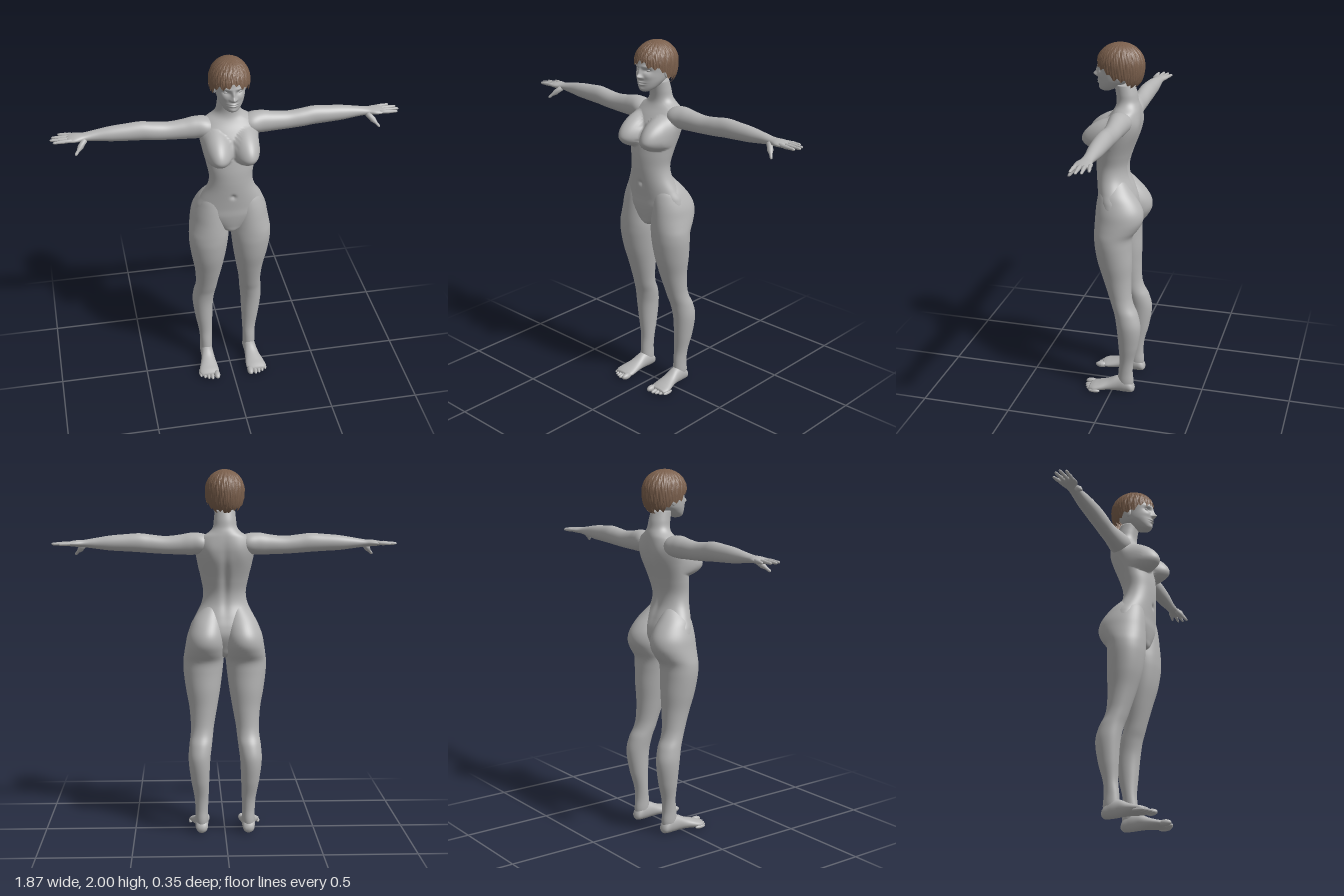
import * as THREE from 'three';

const skin = new THREE.MeshStandardMaterial({ color: 0xb4b4b4 });
skin.name = 'grey skin';
const brown = new THREE.MeshStandardMaterial({ color: 0x7a5f4c, side: THREE.DoubleSide });
brown.name = 'brown hair';

const gauss = (d, s) => Math.exp(-(d * d) / (s * s));

// Smooth (Hermite) value of column k of the sections at position p
function sample(secs, p, k) {
  let i = 0;
  while (i < secs.length - 2 && p > secs[i + 1][0]) i++;
  const slope = (n) => {
    const a = secs[Math.max(n - 1, 0)], b = secs[Math.min(n + 1, secs.length - 1)];
    return (b[k] - a[k]) / (b[0] - a[0]);
  };
  const h = secs[i + 1][0] - secs[i][0], t = (p - secs[i][0]) / h;
  const t2 = t * t, t3 = t2 * t;
  return (2 * t3 - 3 * t2 + 1) * secs[i][k] + (t3 - 2 * t2 + t) * h * slope(i)
    + (3 * t2 - 2 * t3) * secs[i + 1][k] + (t3 - t2) * h * slope(i + 1);
}

// Elliptical loft along an axis (0 x, 1 y, 2 z). A section is
// [position, min and max on the next axis, min and max on the one after].
function loft(axis, secs, rows, segs, deform) {
  const pos = [], idx = [];
  const first = secs[0][0], last = secs[secs.length - 1][0];
  const add = (p, a, b) => {
    const v = [0, 0, 0];
    v[axis] = p; v[(axis + 1) % 3] = a; v[(axis + 2) % 3] = b;
    if (deform) deform(v);
    pos.push(...v);
  };
  for (let i = 0; i <= rows; i++) {
    const p = first + (last - first) * i / rows;
    const [a0, a1, b0, b1] = [1, 2, 3, 4].map((k) => sample(secs, p, k));
    for (let j = 0; j < segs; j++) {
      const t = j / segs * Math.PI * 2;
      add(p, (a0 + a1) / 2 + (a1 - a0) / 2 * Math.cos(t), (b0 + b1) / 2 + (b1 - b0) / 2 * Math.sin(t));
      const n = (j + 1) % segs, q = i * segs;
      if (i < rows) idx.push(q + j, q + n, q + segs + j, q + n, q + segs + n, q + segs + j);
    }
  }
  for (const s of [secs[0], secs[secs.length - 1]]) add(s[0], (s[1] + s[2]) / 2, (s[3] + s[4]) / 2);
  const c = (rows + 1) * segs;
  for (let j = 0; j < segs; j++) {
    const n = (j + 1) % segs;
    idx.push(c, n, j, c + 1, rows * segs + j, rows * segs + n);
  }
  const g = new THREE.BufferGeometry();
  g.setAttribute('position', new THREE.Float32BufferAttribute(pos, 3));
  g.setIndex(idx);
  g.computeVertexNormals();
  return g;
}

function ball(x, y, z, rx, ry, rz) {
  return new THREE.SphereGeometry(1, 20, 14).scale(rx, ry, rz).translate(x, y, z);
}

// Tapered finger with a slight knuckle and a round tip
function digit(from, to, r0, r1) {
  const a = new THREE.Vector3(...from), d = new THREE.Vector3(...to).sub(a), len = d.length();
  const pts = [[0, 0], [r0, 0.02], [r0 * 0.92, 0.3], [r0, 0.45], [r1 * 1.05, 0.7], [r1, 0.88], [r1 * 0.7, 0.96], [0, 1]]
    .map(([r, t]) => new THREE.Vector2(r, t * len));
  const q = new THREE.Quaternion().setFromUnitVectors(new THREE.Vector3(0, 1, 0), d.normalize());
  return new THREE.LatheGeometry(pts, 12).applyQuaternion(q).translate(a.x, a.y, a.z);
}

function mirrored(geo) {
  const g = geo.clone().scale(-1, 1, 1), ix = g.index;
  for (let i = 0; i < ix.count; i += 3) {
    const t = ix.getX(i);
    ix.setX(i, ix.getX(i + 1));
    ix.setX(i + 1, t);
  }
  g.computeVertexNormals();
  return g;
}

// Chest volume, spine groove and navel
function shapeTorso(v) {
  const [x, y, z] = v, ax = Math.abs(x);
  if (z > -0.01) {
    const dx = (ax - 0.083) / 0.079, dy = (y - 1.495) / (y > 1.495 ? 0.115 : 0.068);
    const q = 1 - dx * dx - dy * dy, front = Math.min(1, (z + 0.01) / 0.04);
    if (q > 0) {
      v[2] += 0.095 * Math.pow(q, 0.75) * front;
      v[0] += Math.sign(x) * 0.012 * q * front;
    }
    v[2] -= 0.012 * gauss(x, 0.012) * gauss(y - 1.235, 0.014);
  } else {
    v[2] += 0.013 * gauss(x, 0.022) * gauss(y - 1.4, 0.16);
    v[2] -= 0.008 * gauss(ax - 0.08, 0.04) * gauss(y - 1.56, 0.06);
  }
}

// Face relief: [x, y, width, height, depth]
const relief = [
  [0, 1.824, 0.012, 0.012, 0.023], [0, 1.846, 0.009, 0.02, 0.013], [0.012, 1.819, 0.008, 0.007, 0.008],
  [0.034, 1.855, 0.019, 0.011, -0.013], [0.034, 1.877, 0.026, 0.008, 0.004], [0.045, 1.825, 0.02, 0.016, 0.005],
  [0, 1.793, 0.02, 0.005, 0.008], [0, 1.781, 0.017, 0.005, 0.008], [0, 1.787, 0.022, 0.0025, -0.004],
  [0, 1.755, 0.018, 0.01, 0.005],
];
function shapeHead(v) {
  const [x, y, z] = v;
  if (z < 0.03) return;
  for (const [rx, ry, w, h, d] of relief) v[2] += d * gauss(Math.abs(x) - rx, w) * gauss(y - ry, h);
}

// Cap of swept strands with a ragged lower edge
function hairCap(grow, turn, lift) {
  const segs = 144, rows = 26, pos = [], idx = [];
  for (let i = 0; i <= rows; i++) {
    for (let j = 0; j <= segs; j++) {
      const th = j / segs * Math.PI * 2, back = (1 - Math.cos(th)) / 2, u = i / rows;
      const jag = Math.abs(((th * 19 / (2 * Math.PI) + turn) % 1) * 2 - 1);
      const edge = 1.895 - 0.128 * Math.pow(back, 0.8) + lift + 0.022 * (jag - 0.5) + 0.008 * Math.sin(th * 7 + turn * 9);
      const a = u * Math.acos(Math.max(-1, Math.min(1, (edge - 1.88) / 0.118)));
      const low = Math.max(0, (a - Math.PI / 2) / 1.12);
      const strand = Math.abs(Math.sin(th * 11 + u * 5 + turn * 6)) * 0.6 + Math.abs(Math.sin(th * 23 - u * 7 + turn)) * 0.4;
      const r = (a < Math.PI / 2 ? Math.sin(a) : 1 - 0.24 * low * low) * (0.975 + grow + 0.045 * strand);
      pos.push(0.103 * r * Math.sin(th), 1.88 + 0.118 * Math.cos(a) + 0.003 * strand * u, -0.015 + 0.124 * r * Math.cos(th));
      const p = i * (segs + 1) + j;
      if (i < rows && j < segs) idx.push(p, p + segs + 1, p + 1, p + 1, p + segs + 1, p + segs + 2);
    }
  }
  const g = new THREE.BufferGeometry();
  g.setAttribute('position', new THREE.Float32BufferAttribute(pos, 3));
  g.setIndex(idx);
  const flat = g.toNonIndexed();
  flat.computeVertexNormals();
  return flat;
}

export function createModel() {
  const model = new THREE.Group();
  model.name = 'figure';
  const add = (name, geo, mat = skin) => {
    const m = new THREE.Mesh(geo, mat);
    m.name = name;
    model.add(m);
  };
  const pair = (name, geo) => {
    add('left ' + name, geo);
    add('right ' + name, mirrored(geo));
  };

  // Torso and neck: [y, back, front, half width]
  const torso = [
    [0.975, -0.04, 0.03, 0.01], [0.99, -0.07, 0.07, 0.04], [1.03, -0.09, 0.085, 0.11], [1.1, -0.115, 0.098, 0.19],
    [1.15, -0.11, 0.1, 0.188], [1.2, -0.092, 0.105, 0.163], [1.27, -0.065, 0.112, 0.128], [1.33, -0.062, 0.115, 0.117],
    [1.4, -0.08, 0.112, 0.128], [1.5, -0.115, 0.095, 0.15], [1.56, -0.126, 0.072, 0.16], [1.6, -0.128, 0.048, 0.155],
    [1.64, -0.125, 0.02, 0.125], [1.665, -0.12, 0.008, 0.085], [1.69, -0.112, 0.005, 0.066], [1.73, -0.105, 0.01, 0.06],
    [1.78, -0.09, 0.02, 0.055],
  ].map(([y, b, f, w]) => [y, b, f, -w, w]);
  add('torso', loft(1, torso, 130, 96, shapeTorso));

  // Leg: [y, back, front, inner, outer]
  pair('leg', loft(1, [
    [0.03, -0.12, -0.04, 0.1, 0.16], [0.07, -0.125, -0.035, 0.095, 0.165], [0.13, -0.12, -0.038, 0.095, 0.165],
    [0.2, -0.125, -0.045, 0.092, 0.17], [0.3, -0.15, -0.04, 0.088, 0.188], [0.42, -0.165, -0.03, 0.082, 0.202],
    [0.5, -0.147, -0.015, 0.072, 0.197], [0.55, -0.122, 0.002, 0.066, 0.19], [0.6, -0.11, 0.018, 0.06, 0.188],
    [0.7, -0.106, 0.05, 0.042, 0.196], [0.8, -0.109, 0.08, 0.025, 0.214], [0.9, -0.107, 0.097, 0.012, 0.227],
    [0.96, -0.112, 0.1, 0.006, 0.228], [1.0, -0.14, 0.1, 0.003, 0.223], [1.05, -0.166, 0.098, 0, 0.215],
    [1.1, -0.165, 0.095, 0, 0.206], [1.15, -0.14, 0.09, 0.005, 0.188], [1.2, -0.1, 0.08, 0.012, 0.163],
    [1.27, -0.04, 0.05, 0.03, 0.1],
  ], 100, 48));

  // Foot: [z, inner, outer, bottom, top], and toes
  pair('foot', loft(2, [
    [-0.13, 0.115, 0.145, 0.015, 0.04], [-0.12, 0.1, 0.16, 0.004, 0.06], [-0.08, 0.094, 0.166, 0, 0.1],
    [-0.03, 0.094, 0.168, 0.002, 0.095], [0.02, 0.09, 0.178, 0.004, 0.07], [0.07, 0.084, 0.194, 0.002, 0.052],
    [0.1, 0.084, 0.198, 0.002, 0.043], [0.125, 0.095, 0.185, 0.008, 0.033],
  ], 40, 32));
  for (let i = 0; i < 5; i++) {
    const r = i ? 0.0125 - i * 0.0005 : 0.018;
    pair('toe ' + (i + 1), ball(i ? 0.108 + i * 0.021 : 0.1, r + 0.002, 0.128 - i * i * 0.0022, r, r, 0.034));
  }

  // Arm and palm: [x, bottom, top, back, front]
  pair('arm', loft(0, [
    [0.06, 1.56, 1.63, -0.08, 0], [0.12, 1.545, 1.655, -0.105, 0.02], [0.18, 1.54, 1.66, -0.1, 0.012],
    [0.24, 1.542, 1.65, -0.093, 0.005], [0.32, 1.545, 1.642, -0.09, 0], [0.4, 1.55, 1.65, -0.09, 0],
    [0.46, 1.555, 1.657, -0.092, -0.003], [0.54, 1.56, 1.652, -0.09, -0.005], [0.62, 1.565, 1.645, -0.087, -0.01],
    [0.7, 1.575, 1.632, -0.08, -0.018], [0.76, 1.583, 1.622, -0.078, -0.016], [0.8, 1.585, 1.62, -0.09, -0.002],
    [0.83, 1.588, 1.615, -0.093, -0.003], [0.845, 1.594, 1.61, -0.085, -0.01],
  ], 90, 36));
  const tips = [[0.92, -0.012], [0.935, -0.042], [0.926, -0.07], [0.892, -0.098]];
  tips.forEach(([x, z], i) => pair('finger ' + (i + 1),
    digit([0.82, 1.603, -0.016 - i * 0.0215], [x, 1.6, z], 0.0105, 0.0075)));
  pair('thumb', digit([0.755, 1.597, -0.025], [0.812, 1.538, 0.03], 0.016, 0.008));

  // Head: [y, back, front, half width]
  const head = [
    [1.737, 0.045, 0.082, 0.014], [1.744, 0.03, 0.094, 0.03], [1.757, 0, 0.1, 0.045], [1.775, -0.03, 0.103, 0.058],
    [1.8, -0.07, 0.106, 0.07], [1.84, -0.1, 0.107, 0.078], [1.88, -0.115, 0.108, 0.084], [1.92, -0.118, 0.098, 0.084],
    [1.955, -0.1, 0.07, 0.07], [1.98, -0.06, 0.035, 0.04],
  ].map(([y, b, f, w]) => [y, b, f, -w, w]);
  add('head', loft(1, head, 120, 112, shapeHead));
  pair('eye', ball(0.033, 1.855, 0.081, 0.014, 0.008, 0.009));
  pair('ear', ball(0.079, 1.835, -0.012, 0.008, 0.028, 0.017));

  // Layered short hair
  add('hair', hairCap(0.012, 0.1, 0), brown);
  add('upper hair layer', hairCap(0.035, 0.6, 0.025), brown);
  return model;
}
